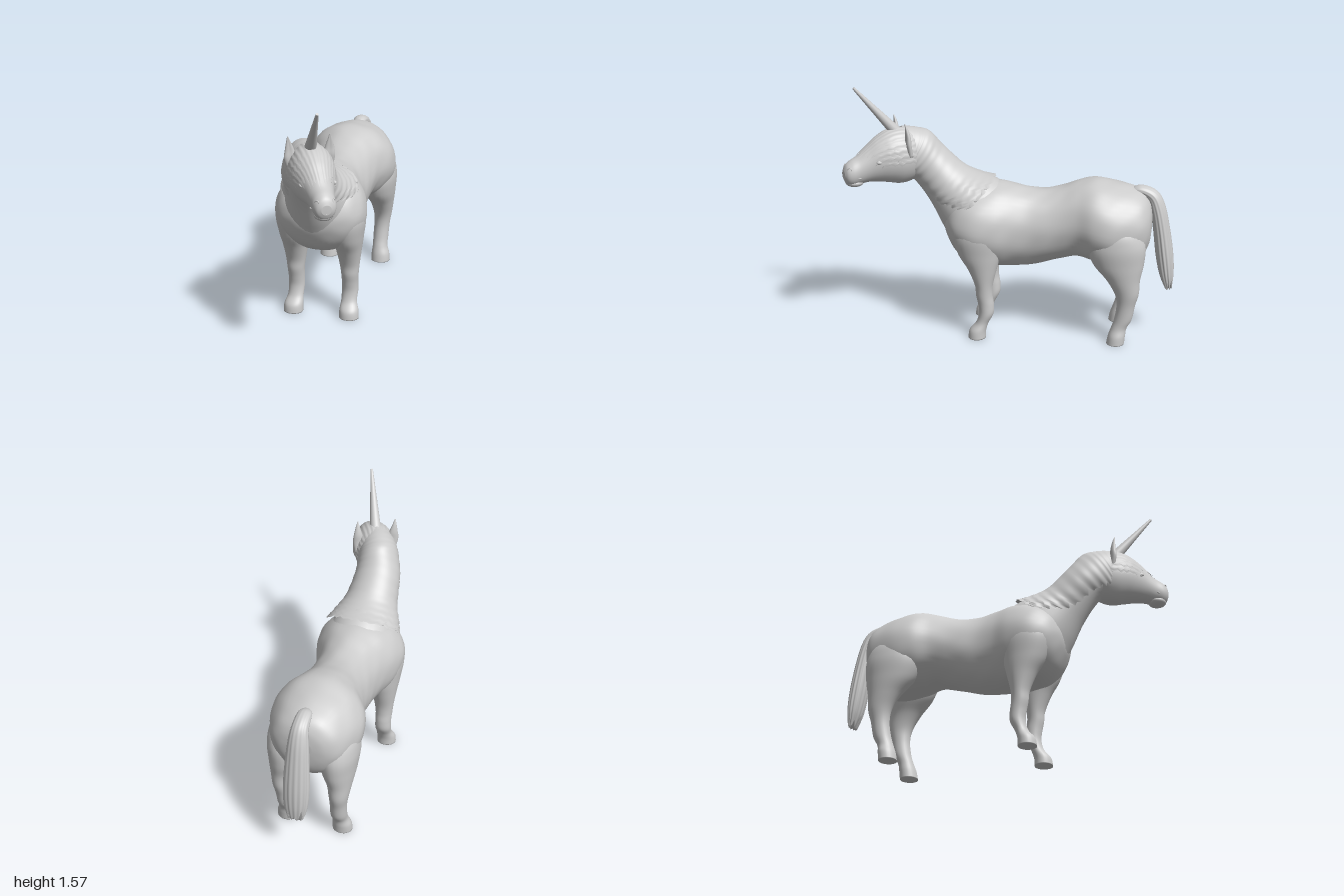
import * as THREE from 'three';

const material = new THREE.MeshStandardMaterial({ color: 0xcccccc });
const thin = new THREE.MeshStandardMaterial({ color: 0xcccccc, side: THREE.DoubleSide });
const rad = THREE.MathUtils.degToRad;

// smooth interpolation through all numbers of the sections, t in 0..1
function sample(sections, t) {
  const n = sections.length - 1;
  const f = THREE.MathUtils.clamp(t, 0, 1) * n;
  const i = Math.min(Math.floor(f), n - 1), k = f - i;
  const at = j => sections[THREE.MathUtils.clamp(j, 0, n)];
  return sections[0].map((_, c) => {
    const [a, b, d, e] = [at(i - 1)[c], at(i)[c], at(i + 1)[c], at(i + 2)[c]];
    const m0 = (d - a) / 2, m1 = (e - b) / 2;
    return b + k * (m0 + k * (3 * (d - b) - 2 * m0 - m1 + k * (2 * (b - d) + m0 + m1)));
  });
}

// loft of oval sections [x, y, z, halfWidth, halfHeight, yaw, climb]
// warp(t, u) returns [t, angle, scale]; an open loft is a sheet without caps
function loft(name, sections, { rows = 64, cols = 36, open = false, warp } = {}) {
  const pos = [], index = [];
  const stride = open ? cols + 1 : cols;
  const euler = new THREE.Euler(0, 0, 0, 'YXZ');
  for (let i = 0; i <= rows; i++) {
    for (let j = 0; j < stride; j++) {
      const t0 = i / rows, u = j / cols;
      const [t, angle, s] = warp ? warp(t0, u) : [t0, u * Math.PI * 2, 1];
      const [x, y, z, w, h, yaw, climb] = sample(sections, t);
      euler.set(rad(-climb), rad(yaw), 0);
      const p = new THREE.Vector3(Math.cos(angle) * w * s, Math.sin(angle) * h * s, 0).applyEuler(euler);
      pos.push(p.x + x, p.y + y, p.z + z);
    }
  }
  for (let i = 0; i < rows; i++) {
    for (let j = 0; j < cols; j++) {
      const a = i * stride + j, b = i * stride + (j + 1) % stride;
      index.push(a, b, b + stride, a, b + stride, a + stride);
    }
  }
  if (!open) {
    const first = pos.length / 3, end = rows * stride;
    pos.push(...sections[0].slice(0, 3), ...sections[sections.length - 1].slice(0, 3));
    for (let j = 0; j < cols; j++) {
      const k = (j + 1) % cols;
      index.push(first, k, j, first + 1, end + j, end + k);
    }
  }
  const geo = new THREE.BufferGeometry();
  geo.setAttribute('position', new THREE.Float32BufferAttribute(pos, 3));
  geo.setIndex(index);
  geo.computeVertexNormals();
  const mesh = new THREE.Mesh(geo, open ? thin : material);
  mesh.name = name;
  return mesh;
}

// leg rows [y, zFront, zBack, xInner, xOuter]
const leg = (name, rows, side) => loft(name, rows.map(([y, f, b, i, o]) =>
  [side * (i + o) / 2, y, (f + b) / 2, (o - i) / 2, (f - b) / 2, 0, 90]), { cols: 28 });

function ball(name, x, y, z, sx, sy, sz, yaw) {
  const mesh = new THREE.Mesh(new THREE.SphereGeometry(1, 20, 14), material);
  mesh.name = name;
  mesh.position.set(x, y, z);
  mesh.scale.set(sx, sy, sz);
  mesh.rotation.y = rad(yaw);
  return mesh;
}

// tooth pattern for ragged hair ends
const jag = v => Math.abs((v % 1) * 2 - 1) * (0.65 + 0.35 * Math.sin(v * 2.3));

export function createModel() {
  const model = new THREE.Group();
  model.name = 'hornedHorse';

  // barrel: [z, top, bottom, halfWidth]
  const barrel = [[-.85, .8, .7, .06], [-.835, .87, .6, .14], [-.79, .93, .52, .205], [-.7, .965, .47, .252],
    [-.6, .985, .47, .28], [-.5, 1, .49, .27], [-.4, .98, .51, .225], [-.3, .945, .49, .205], [-.2, .925, .46, .2],
    [-.1, .93, .435, .2], [0, .95, .43, .222], [.1, .965, .43, .262], [.2, .96, .445, .278], [.28, .94, .47, .262],
    [.35, .89, .53, .215], [.4, .82, .62, .13], [.42, .77, .68, .05]];
  model.add(loft('body', barrel.map(([z, t, b, w]) => [0, (t + b) / 2, z, w, (t - b) / 2, 0, 0]), {
    rows: 90, cols: 48,
    warp: (t, u) => [t, u * Math.PI * 2, 1 + .008 * Math.sin(u * Math.PI * 20 + t * 25) * Math.sin(t * 40)],
  }));

  // legs, their tops sinking into shoulder and croup
  const front = [[0, .26, .15, .117, .24], [.05, .25, .148, .118, .236], [.1, .21, .132, .122, .22],
    [.16, .193, .102, .12, .222], [.22, .198, .1, .12, .222], [.28, .21, .108, .118, .226], [.35, .218, .106, .108, .233],
    [.45, .26, .083, .09, .247], [.55, .32, .06, .07, .262], [.68, .355, .05, .06, .275], [.79, .32, .08, .06, .24],
    [.87, .25, .14, .07, .12]];
  const hind = [[0, -.595, -.705, .117, .24], [.05, -.605, -.71, .118, .236], [.1, -.622, -.718, .122, .22],
    [.16, -.64, -.748, .12, .22], [.25, -.652, -.765, .122, .225], [.33, -.638, -.785, .118, .238],
    [.42, -.585, -.79, .1, .253], [.52, -.5, -.81, .06, .268], [.64, -.46, -.815, .04, .277],
    [.75, -.5, -.77, .04, .248], [.85, -.58, -.7, .06, .13]];
  for (const [side, word] of [[1, 'left'], [-1, 'right']]) {
    model.add(leg(word + 'FrontLeg', front, side), leg(word + 'HindLeg', hind, side));
  }

  // neck running down into the chest, and the mane draped over it
  const neck = [[0, .66, .12, .21, .23, 0, 30], [0, .74, .195, .232, .245, 0, 40], [0, .835, .28, .2, .215, 0, 45],
    [0, .945, .405, .145, .152, 2, 45], [.01, 1.07, .525, .115, .13, 10, 43], [.035, 1.13, .61, .11, .15, 22, 38],
    [.06, 1.14, .66, .1, .13, 28, 30]];
  model.add(loft('neck', neck));
  const cape = [[0, .855, .235, .238, .185, 0, 45], [0, .895, .315, .203, .165, 0, 46], [0, .955, .405, .162, .147, 2, 45],
    [0, 1.07, .515, .14, .137, 8, 43], [.025, 1.135, .6, .128, .162, 20, 38], [.045, 1.16, .645, .12, .15, 28, 30],
    [.068, 1.17, .69, .11, .138, 30, 12]];
  model.add(loft('mane', cape, {
    rows: 150, cols: 48, open: true,
    warp: (t, u) => {
      const drop = .05 + 1.1 * Math.sin(Math.min(t * 1.8, 1) * Math.PI / 2) - .4 * t;
      const low = drop - .22 * jag(t * 19);
      const strand = .012 * Math.sin(t * 85 + Math.sin(u * 9)) * Math.abs(u - .5) * 2;
      const hem = t + (1 - t) ** 6 * .05 * jag(u * 12);
      return [hem, -low + u * (Math.PI + 2 * low), 1.01 + strand];
    },
  }));

  // head turned to its left: [z, top, bottom, halfWidth]
  const yaw = 30;
  const onHead = z => .04 + Math.tan(rad(yaw)) * (z - .62);
  const skull = [[.55, 1.22, 1.05, .07], [.61, 1.285, .98, .115], [.68, 1.3, .96, .128], [.75, 1.285, .975, .12],
    [.81, 1.25, .988, .1], [.86, 1.205, .992, .082], [.91, 1.16, .985, .07], [.95, 1.135, .98, .066],
    [.975, 1.112, .995, .053], [.988, 1.08, 1.025, .028]];
  const headRings = skull.map(([z, t, b, w]) => [onHead(z), (t + b) / 2, z, w, (t - b) / 2, yaw, 0]);
  const head = new THREE.Group();
  head.name = 'head';
  model.add(head);
  head.add(loft('skull', headRings));
  head.add(ball('lowerLip', onHead(.93), 1, .93, .054, .028, .056, yaw));

  // forelock falling over the forehead and brows with a ragged fringe
  head.add(loft('forelock', headRings, {
    rows: 48, cols: 128, open: true,
    warp: (t, u) => {
      const across = Math.sin(u * Math.PI);
      return [.08 + t * (.3 + .23 * across + .1 * jag(u * 16)), -.08 - .1 * jag(t * 6) + u * (Math.PI + .16 + .2 * jag(t * 6)),
        .98 + .085 * Math.sin(Math.min(t * 2, 1) * Math.PI / 2) + .007 * Math.sin(u * 100)];
    },
  }));

  // place points in head space: forward z, sideways offset
  const place = (z, off) => [onHead(z) + off * Math.cos(rad(yaw)), z - off * Math.sin(rad(yaw))];
  for (const [side, word] of [[1, 'left'], [-1, 'right']]) {
    const [ex, ez] = place(.815, side * .095);
    head.add(ball(word + 'Eye', ex, 1.13, ez, .012, .014, .022, yaw));

    const [nx, nz] = place(.965, side * .046);
    const nostril = new THREE.Mesh(new THREE.TorusGeometry(.011, .004, 8, 18), material);
    nostril.name = word + 'Nostril';
    nostril.position.set(nx, 1.092, nz);
    nostril.rotation.set(0, rad(yaw + side * 50), 0);
    head.add(nostril);

    // ears: pointed leaves with a hollow in front
    const [ax, az] = place(.665, side * .108);
    head.add(loft(word + 'Ear', [[ax, 1.15, az - .012, .022, .018, yaw, 90], [ax + side * .004, 1.22, az, .034, .02, yaw, 90],
      [ax + side * .006, 1.27, az, .027, .017, yaw, 90], [ax + side * .01, 1.32, az + .006, .013, .01, yaw, 90],
      [ax + side * .012, 1.355, az + .014, .002, .002, yaw, 90]], {
      rows: 20, cols: 20,
      warp: (t, u) => [t, u * Math.PI * 2, 1 - .45 * Math.exp(-(((u - .75) / .1) ** 2))],
    }));
  }

  // upper lip edge
  const lips = [-1, -.6, 0, .6, 1].map(k => {
    const [x, z] = place(.985 - .075 * k * k, k * .068);
    return new THREE.Vector3(x, 1.03 + .008 * k * k, z);
  });
  const mouth = new THREE.Mesh(new THREE.TubeGeometry(new THREE.CatmullRomCurve3(lips), 24, .005, 8), material);
  mouth.name = 'upperLip';
  head.add(mouth);

  // horn
  const base = new THREE.Vector3(.068, 1.25, .675), tip = new THREE.Vector3(.184, 1.568, .923);
  const axis = tip.clone().sub(base);
  const horn = new THREE.Mesh(new THREE.CylinderGeometry(.008, .038, axis.length(), 24, 12), material);
  horn.name = 'horn';
  horn.position.copy(base).lerp(tip, .5);
  horn.quaternion.setFromUnitVectors(new THREE.Vector3(0, 1, 0), axis.normalize());
  head.add(horn);

  // tail with strands and ragged tip
  const tail = [[0, .925, -.71, .025, .015, 180, 15], [0, .94, -.77, .042, .028, 180, -5],
    [0, .905, -.845, .05, .04, 180, -42], [0, .83, -.88, .06, .047, 180, -65], [0, .7, -.907, .07, .05, 180, -75],
    [0, .53, -.932, .077, .052, 180, -80], [0, .4, -.95, .07, .042, 180, -82], [0, .305, -.965, .045, .02, 180, -82]];
  model.add(loft('tail', tail, {
    rows: 60, cols: 64,
    warp: (t, u) => [t * (1 - .13 * t ** 8 * jag(u * 8)), u * Math.PI * 2, 1 + .06 * Math.sin(u * Math.PI * 28) * t],
  }));

  return model;
}
